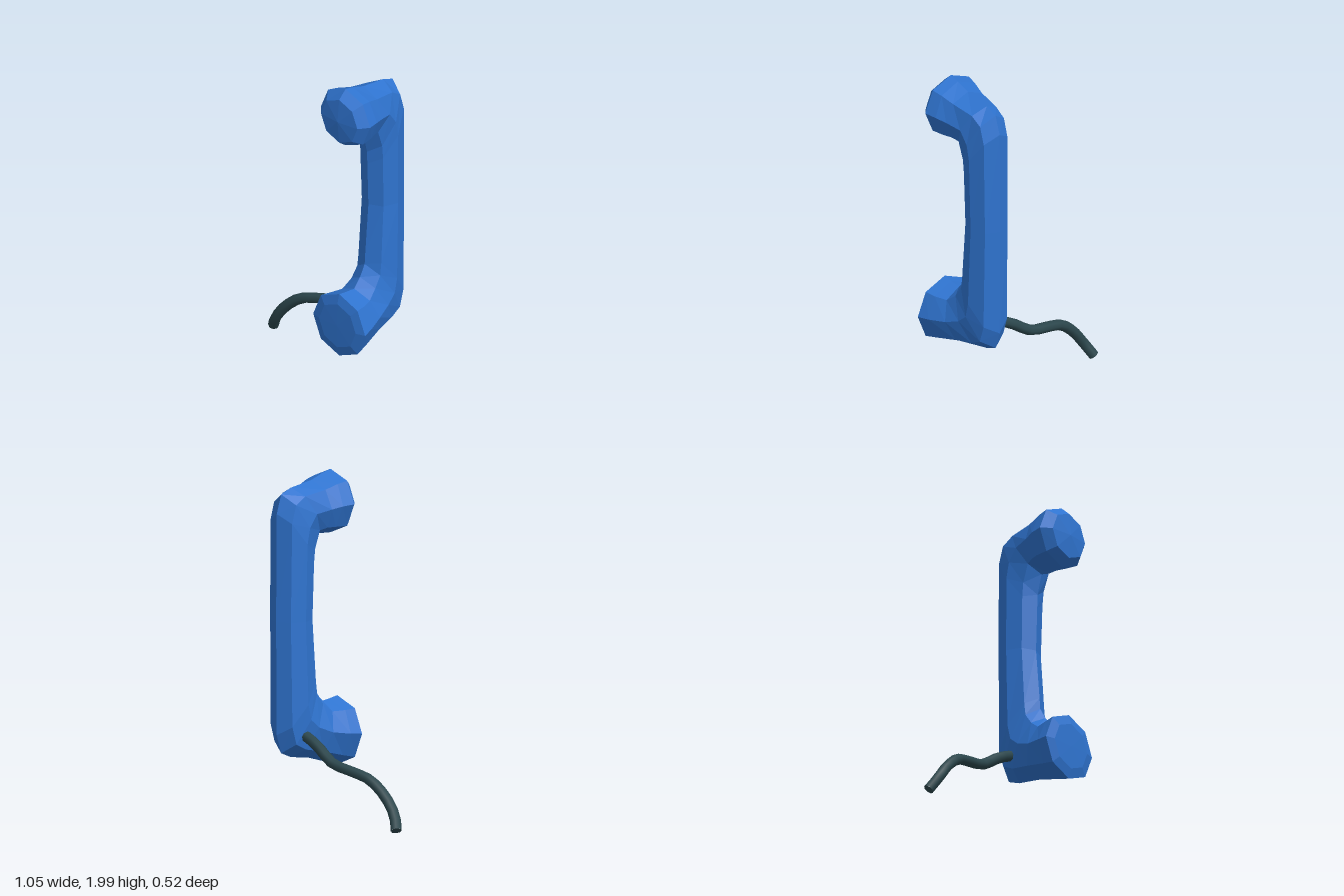
import * as THREE from 'three';

const SIDES = 8;

// Closed loft through octagonal rings. Each ring: outer [z, y], inner [z, y], half width in x.
function loftHandset(rings) {
  const positions = [];
  const index = [];
  rings.forEach(([oz, oy, iz, iy, w]) => {
    for (let k = 0; k < SIDES; k++) {
      const a = (k / SIDES) * Math.PI * 2;
      const c = Math.cos(a) / 2;
      positions.push(
        Math.sin(a) * w,
        (oy + iy) / 2 + c * (oy - iy),
        (oz + iz) / 2 + c * (oz - iz)
      );
    }
  });
  for (let i = 0; i < rings.length - 1; i++) {
    for (let k = 0; k < SIDES; k++) {
      const a = i * SIDES + k;
      const b = i * SIDES + ((k + 1) % SIDES);
      // the first and last rings are single points, so skip their empty triangles
      if (i > 0) index.push(a, b, b + SIDES);
      if (i < rings.length - 2) index.push(a, b + SIDES, a + SIDES);
    }
  }
  const geometry = new THREE.BufferGeometry();
  geometry.setAttribute('position', new THREE.Float32BufferAttribute(positions, 3));
  geometry.setIndex(index);
  const flat = geometry.toNonIndexed();
  flat.computeVertexNormals();
  return flat;
}

export function createModel() {
  const group = new THREE.Group();
  const blue = new THREE.MeshStandardMaterial({ color: 0x2f74d0, flatShading: true });
  const dark = new THREE.MeshStandardMaterial({ color: 0x2c474d });

  // Handset: from the earpiece, round the top bend, down the grip to the mouthpiece
  const handset = new THREE.Mesh(loftHandset([
    // earpiece
    [0.255, 1.81, 0.255, 1.81, 0],
    [0.24, 1.95, 0.24, 1.67, 0.14],
    [0.185, 2.0, 0.185, 1.63, 0.19],
    [0.12, 1.985, 0.1, 1.635, 0.175],
    [0.03, 1.955, 0.055, 1.64, 0.152],
    // top bend
    [-0.14, 1.93, 0.03, 1.63, 0.128],
    [-0.22, 1.9, 0.0, 1.51, 0.125],
    // grip
    [-0.257, 1.79, -0.003, 1.43, 0.124],
    [-0.262, 1.16, -0.012, 1.16, 0.118],
    [-0.257, 0.5, 0.015, 0.85, 0.124],
    // bottom bend
    [-0.22, 0.39, 0.02, 0.78, 0.125],
    [-0.14, 0.358, 0.06, 0.71, 0.13],
    [0.0, 0.338, 0.11, 0.655, 0.15],
    // mouthpiece
    [0.15, 0.295, 0.18, 0.663, 0.183],
    [0.24, 0.27, 0.24, 0.673, 0.2],
    [0.256, 0.33, 0.256, 0.613, 0.141],
    [0.258, 0.471, 0.258, 0.471, 0],
  ]), blue);
  handset.name = 'handset';
  handset.position.x = 0.32;
  group.add(handset);

  // Cord leaving the lower side of the handset
  const radius = 0.032;
  const path = new THREE.CatmullRomCurve3([
    [0.22, 0.49, -0.12],
    [0.13, 0.45, -0.125],
    [-0.01, 0.36, -0.133],
    [-0.13, 0.33, -0.118],
    [-0.27, 0.29, -0.093],
    [-0.38, 0.2, -0.077],
    [-0.455, 0.1, -0.08],
    [-0.5, 0.024, -0.112],
  ].map((p) => new THREE.Vector3(...p)));
  const cord = new THREE.Mesh(new THREE.TubeGeometry(path, 14, radius, 8), dark);
  cord.name = 'cord';
  group.add(cord);

  // Flat end of the cord
  const cordEnd = new THREE.Mesh(new THREE.CircleGeometry(radius, 8), dark);
  cordEnd.name = 'cordEnd';
  cordEnd.position.copy(path.getPointAt(1));
  cordEnd.quaternion.setFromUnitVectors(new THREE.Vector3(0, 0, 1), path.getTangentAt(1));
  group.add(cordEnd);

  return group;
}
